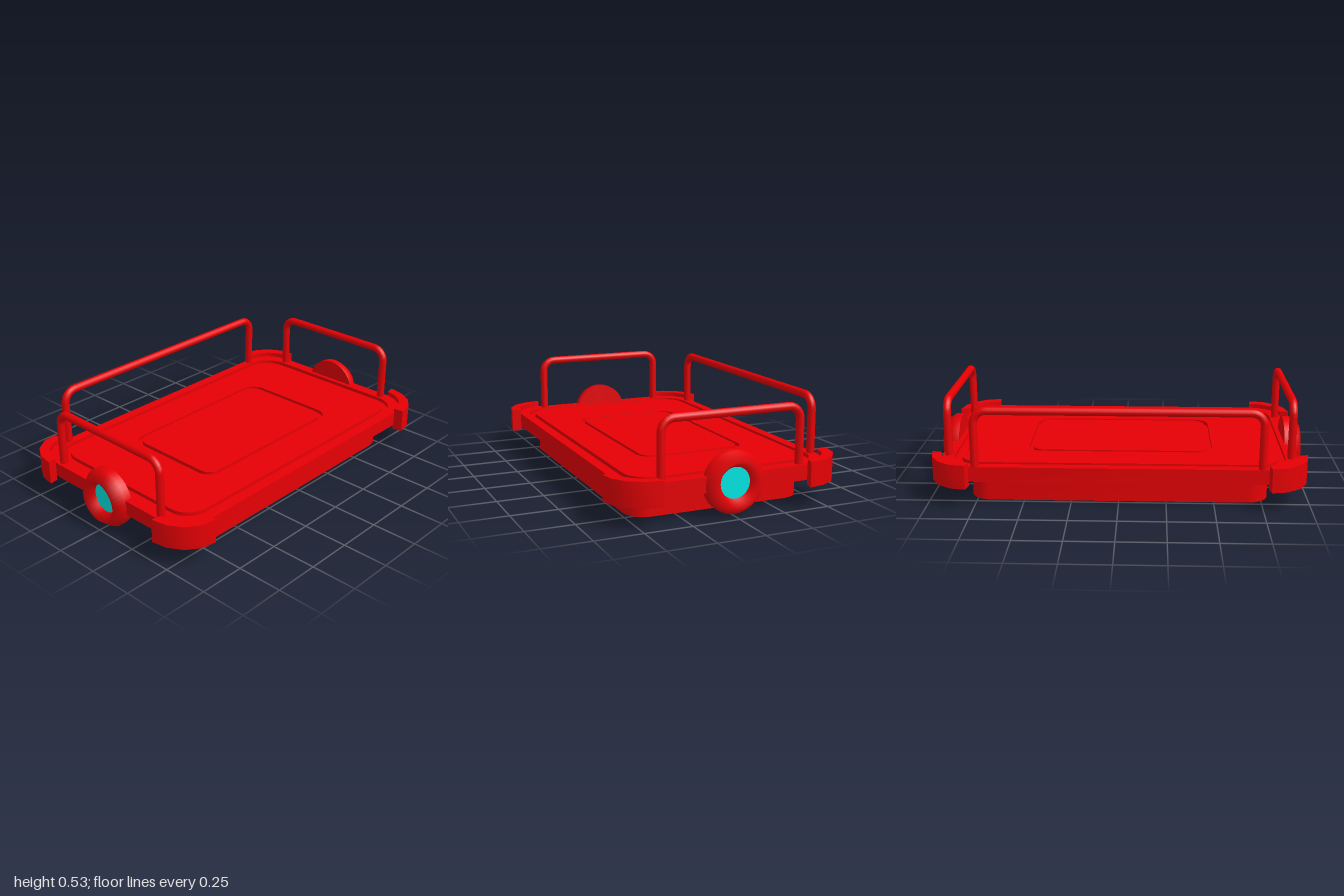
import * as THREE from 'three';
import { toCreasedNormals } from 'three/addons/utils/BufferGeometryUtils.js';

const red = new THREE.MeshStandardMaterial({ color: 0xe60004 });
const cyan = new THREE.MeshStandardMaterial({ color: 0x00e7e4 });

function add(parent, name, geometry, material = red) {
  const mesh = new THREE.Mesh(geometry, material);
  mesh.name = name;
  parent.add(mesh);
  return mesh;
}

// Loop of a rounded rectangle in the ground plane
function roundedLoop(hx, hz, r, y, steps = 8) {
  const loop = [];
  for (let c = 0; c < 4; c++) {
    const cx = (c === 0 || c === 3 ? 1 : -1) * (hx - r);
    const cz = (c < 2 ? 1 : -1) * (hz - r);
    for (let i = 0; i <= steps; i++) {
      const a = (c + i / steps) * Math.PI / 2;
      loop.push([cx + r * Math.cos(a), y, cz + r * Math.sin(a)]);
    }
  }
  return loop;
}

// Capped solid through rounded rectangles [halfX, halfZ, radius, y]
function roundedLoft(sections) {
  const loops = sections.map((s) => roundedLoop(...s));
  const n = loops[0].length, last = loops.length - 1;
  const pos = [];
  for (let i = 0; i < n; i++) {
    const k = (i + 1) % n;
    for (let j = 0; j < last; j++) {
      const a = loops[j][i], b = loops[j][k], c = loops[j + 1][k], d = loops[j + 1][i];
      pos.push(...a, ...d, ...b, ...b, ...d, ...c);
    }
    pos.push(0, sections[0][3], 0, ...loops[0][i], ...loops[0][k]);
    pos.push(0, sections[last][3], 0, ...loops[last][k], ...loops[last][i]);
  }
  const g = new THREE.BufferGeometry();
  g.setAttribute('position', new THREE.Float32BufferAttribute(pos, 3));
  return toCreasedNormals(g, 0.4);
}

// Hoop rail along x, standing on the deck, with rounded upper bends
function railGeometry(half) {
  const top = 0.513, bend = 0.067, base = 0.2;
  const v = (x, y) => new THREE.Vector3(x, y, 0);
  const samples = [v(-half, base)];
  for (const side of [-1, 1]) {
    for (let i = 0; i <= 8; i++) {
      const a = (side < 0 ? i : 8 - i) / 8 * Math.PI / 2;
      samples.push(v(side * (half - bend + bend * Math.cos(a)), top - bend + bend * Math.sin(a)));
    }
  }
  samples.push(v(half, base));
  const path = new THREE.CurvePath();
  for (let i = 1; i < samples.length; i++) path.add(new THREE.LineCurve3(samples[i - 1], samples[i]));
  return new THREE.TubeGeometry(path, 160, 0.0215, 14);
}

// Curved guard wrapped round one corner
function bumperGeometry(sx, sz) {
  const outline = [
    [0.775, 0.57], [0.84, 0.556], [0.895, 0.52], [0.93, 0.465], [0.945, 0.408],
    [0.995, 0.398], [0.98, 0.485], [0.935, 0.56], [0.865, 0.61], [0.785, 0.624],
  ];
  const shape = new THREE.Shape(outline.map(([x, z]) => new THREE.Vector2(x * sx, z * sz)));
  const g = new THREE.ExtrudeGeometry(shape, { depth: 0.13, bevelEnabled: false });
  g.rotateX(Math.PI / 2).translate(0, 0.24, 0);
  return toCreasedNormals(g, 0.6);
}

// Lamp with its axis along y: smooth housing, dished front, sunken lens
function makeLamp() {
  const lamp = new THREE.Group();
  const profile = [[0.158, 0], [0.158, 0.04], [0.115, 0.095], [0.08, 0.042]]
    .map(([r, h]) => new THREE.Vector2(r, h));
  add(lamp, 'lampHousing', new THREE.LatheGeometry(profile, 40));
  add(lamp, 'lampBack', new THREE.CircleGeometry(0.158, 40).rotateX(Math.PI / 2));
  add(lamp, 'lampLens', new THREE.CircleGeometry(0.08, 40).rotateX(-Math.PI / 2), cyan).position.y = 0.042;
  return lamp;
}

export function createModel() {
  const model = new THREE.Group();
  model.name = 'tray';

  // Lower body
  add(model, 'lowerBody', roundedLoft([[0.79, 0.48, 0.11, 0], [0.79, 0.48, 0.11, 0.14]]));

  // Deck with two square-cut channels in its top
  const top = 0.215, floor = 0.195;
  add(model, 'deck', roundedLoft([
    [0.945, 0.573, 0.17, 0.135], [0.945, 0.573, 0.17, top],
    [0.88, 0.52, 0.14, top], [0.88, 0.52, 0.14, floor],
    [0.84, 0.492, 0.12, floor], [0.84, 0.492, 0.12, top],
    [0.5, 0.3, 0.085, top], [0.5, 0.3, 0.085, floor],
    [0.475, 0.28, 0.065, floor], [0.475, 0.28, 0.065, top],
  ]));

  for (const sx of [-1, 1]) {
    for (const sz of [-1, 1]) add(model, 'cornerBumper', bumperGeometry(sx, sz));

    const rail = add(model, sx > 0 ? 'leftRail' : 'rightRail', railGeometry(0.377));
    rail.rotation.y = Math.PI / 2;
    rail.position.x = sx * 0.911;

    const lamp = makeLamp();
    lamp.name = sx > 0 ? 'leftLamp' : 'rightLamp';
    lamp.rotation.z = -sx * Math.PI / 2;
    lamp.position.set(sx * 0.905, 0.169, 0);
    model.add(lamp);
  }

  add(model, 'backRail', railGeometry(0.743)).position.z = -0.552;
  return model;
}
